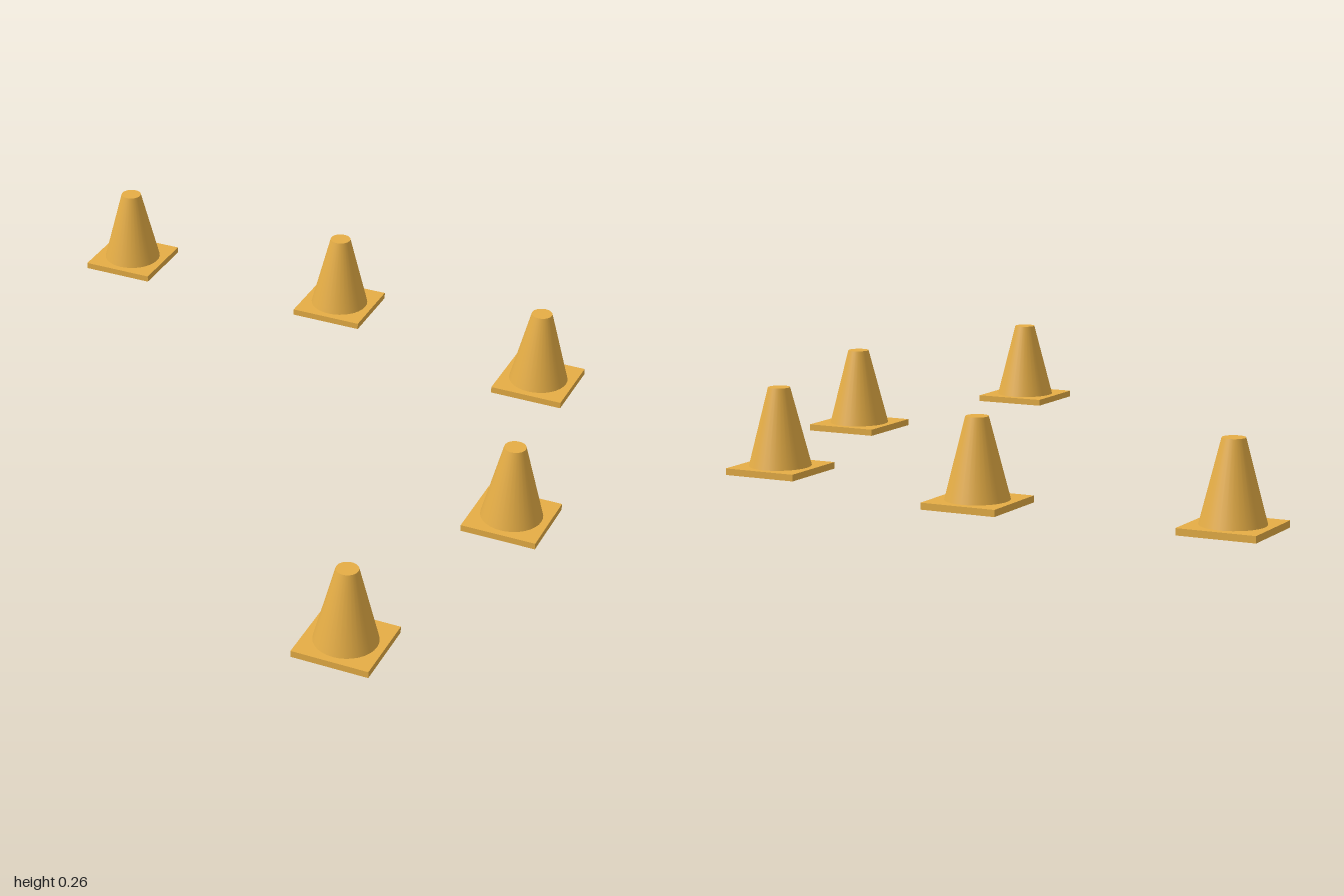
import * as THREE from 'three';

const BASE = 0.234, BASE_H = 0.02, HEIGHT = 0.257;

// Centre of each cone on the ground: [x, z]
const SPOTS = [[-0.883, -0.883], [-0.1, -0.883], [0.683, -0.685], [0.883, 0.1], [0.683, 0.883]];

export function createModel() {
  const model = new THREE.Group();
  model.name = 'trafficCones';
  const orange = new THREE.MeshStandardMaterial({ color: 0xe5ad45 });

  // Square foot plate resting on the ground
  const plateGeometry = new THREE.BoxGeometry(BASE, BASE_H, BASE);
  plateGeometry.translate(0, BASE_H / 2, 0);

  // Tapered body with a flat top
  const bodyHeight = HEIGHT - BASE_H;
  const bodyGeometry = new THREE.CylinderGeometry(0.033, 0.094, bodyHeight, 32);
  bodyGeometry.translate(0, BASE_H + bodyHeight / 2, 0);

  SPOTS.forEach(([x, z], i) => {
    const cone = new THREE.Group();
    cone.name = `cone${i + 1}`;
    const plate = new THREE.Mesh(plateGeometry, orange);
    plate.name = 'basePlate';
    const body = new THREE.Mesh(bodyGeometry, orange);
    body.name = 'coneBody';
    cone.add(plate, body);
    cone.position.set(x, 0, z);
    model.add(cone);
  });

  return model;
}
